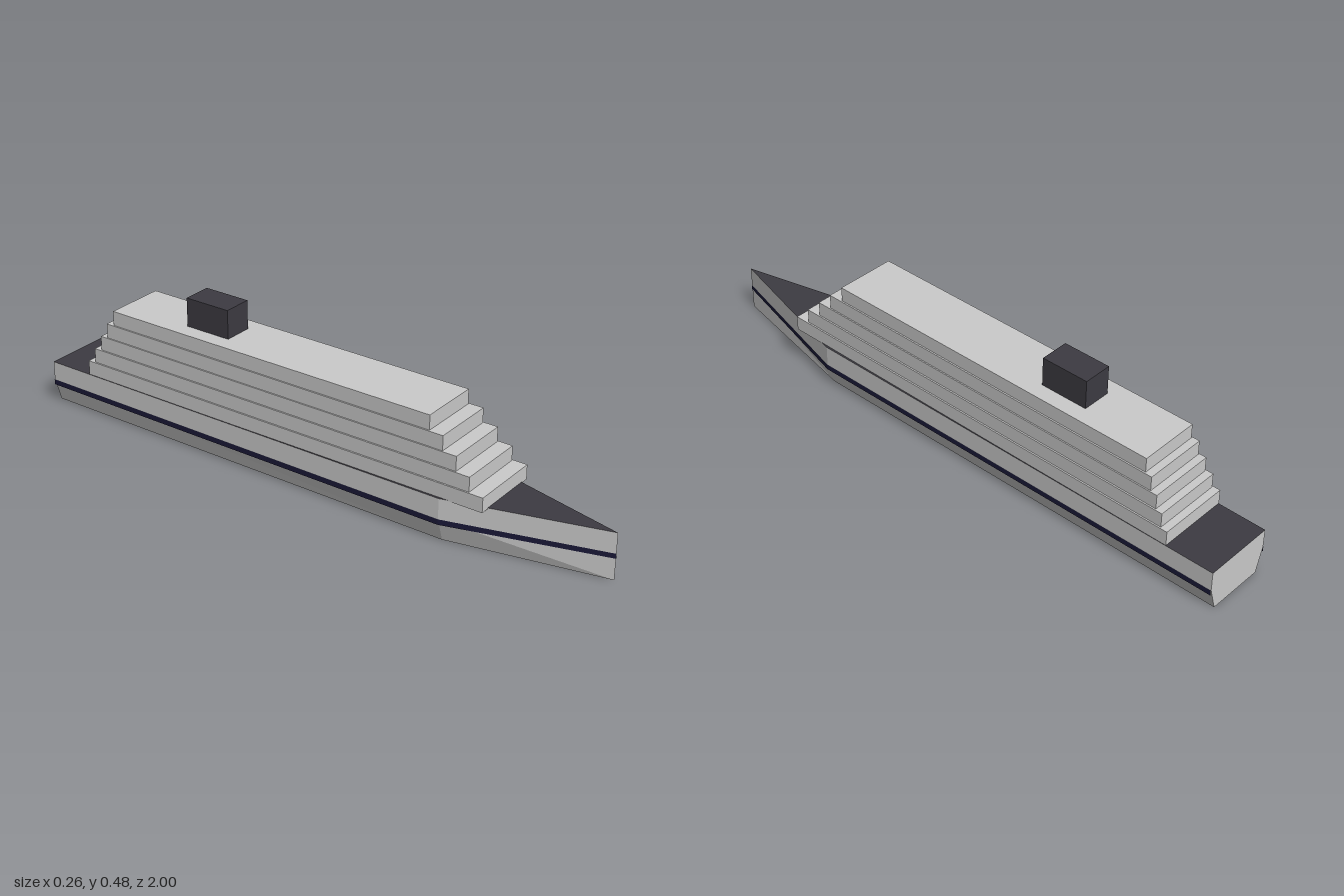
import * as THREE from 'three';

const material = (name, color, side = THREE.FrontSide) => {
  const m = new THREE.MeshStandardMaterial({ color, side });
  m.name = name;
  return m;
};

// Flat-shaded surface from quads given as corners in counter-clockwise order
function quadSurface(quads) {
  const pos = [];
  for (const [a, b, c, d] of quads) pos.push(...a, ...b, ...c, ...a, ...c, ...d);
  const g = new THREE.BufferGeometry();
  g.setAttribute('position', new THREE.Float32BufferAttribute(pos, 3));
  g.computeVertexNormals();
  return g;
}

// Hull stations from stern to bow: half widths and heights
const STATIONS = [
  { z: -1, keel: 0.095, beam: 0.119, knuckle: 0.08, top: 0.143, stripe: [0.062, 0.08] },
  { z: 0.5, keel: 0.102, beam: 0.127, knuckle: 0.08, top: 0.147, stripe: [0.062, 0.08] },
  { z: 1, keel: 0, beam: 0, knuckle: 0.086, top: 0.152, stripe: [0.07, 0.086] },
];

export function createModel() {
  const ship = new THREE.Group();
  ship.name = 'cruiseShip';
  const paint = material('paleGrey', 0xcbcbcb);
  const dark = material('charcoal', 0x3d3b42);
  const navy = material('navy', 0x1a1938, THREE.DoubleSide);

  const add = (name, geometry, mat) => {
    const mesh = new THREE.Mesh(geometry, mat);
    mesh.name = name;
    ship.add(mesh);
    return mesh;
  };

  // Hull shell, deck surface and side stripe between neighbouring stations
  const shell = [], deck = [], stripe = [];
  for (let i = 0; i < STATIONS.length - 1; i++) {
    const a = STATIONS[i], b = STATIONS[i + 1];
    for (const s of [1, -1]) {
      const strip = (list, wa0, ya0, wa1, ya1, wb0, yb0, wb1, yb1) => {
        const q = [[s * wa0, ya0, a.z], [s * wa1, ya1, a.z], [s * wb1, yb1, b.z], [s * wb0, yb0, b.z]];
        list.push(s > 0 ? q : q.reverse());
      };
      strip(shell, a.keel, 0, a.beam, a.knuckle, b.keel, 0, b.beam, b.knuckle);
      strip(shell, a.beam, a.knuckle, a.beam, a.top, b.beam, b.knuckle, b.beam, b.top);
      const o = 0.0015;
      strip(stripe, a.beam + o, a.stripe[0], a.beam + o, a.stripe[1],
        b.beam + o, b.stripe[0], b.beam + o, b.stripe[1]);
    }
    deck.push([[-a.beam, a.top, a.z], [-b.beam, b.top, b.z], [b.beam, b.top, b.z], [a.beam, a.top, a.z]]);
    shell.push([[-a.keel, 0, a.z], [a.keel, 0, a.z], [b.keel, 0, b.z], [-b.keel, 0, b.z]]);
  }

  // Transom closing the stern
  const t = STATIONS[0];
  shell.push(
    [[t.keel, 0, t.z], [-t.keel, 0, t.z], [-t.beam, t.knuckle, t.z], [t.beam, t.knuckle, t.z]],
    [[t.beam, t.knuckle, t.z], [-t.beam, t.knuckle, t.z], [-t.beam, t.top, t.z], [t.beam, t.top, t.z]],
  );
  add('hull', quadSurface(shell), paint);
  add('mainDeck', quadSurface(deck), dark);
  add('hullStripe', quadSurface(stripe), navy);

  // Stepped superstructure, each tier shorter and narrower than the one below
  const halfWidths = [0.12, 0.115, 0.11, 0.106, 0.101];
  const base = 0.145, tierHeight = 0.048;
  halfWidths.forEach((w, i) => {
    const front = 0.64 - i * 0.0485, back = -0.84 + i * 0.025;
    const tier = add(`deckTier${i + 1}`, new THREE.BoxGeometry(2 * w, tierHeight, front - back), paint);
    tier.position.set(0, base + (i + 0.5) * tierHeight, (front + back) / 2);
  });

  // Funnel
  const funnel = add('funnel', new THREE.BoxGeometry(0.096, 0.095, 0.16), dark);
  funnel.position.set(0, 0.4325, -0.4);

  return ship;
}
